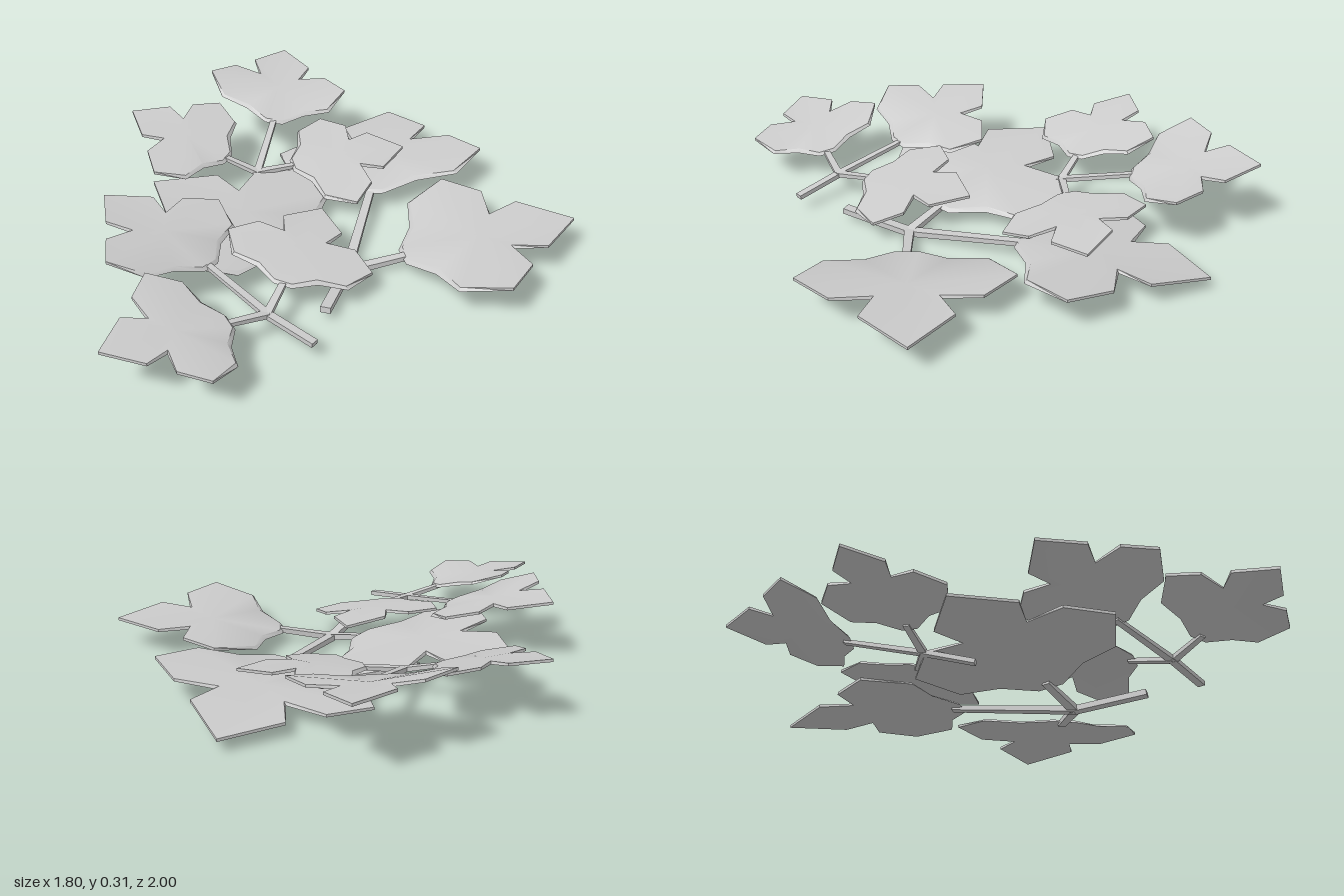
import * as THREE from 'three';
import { toCreasedNormals } from 'three/addons/utils/BufferGeometryUtils.js';

const material = new THREE.MeshStandardMaterial({ color: 0xcccccc });

// Right half of the lobed outline: [along, across, outward slant of the rim]
const HALF = [
  [0, 0.07, 0.02], [0.12, 0.23, 0.03], [0.16, 0.45, 0.02], [0.40, 0.59, 0],
  [0.585, 0.40, 0], [0.55, 0.17, 0.02], [0.74, 0.245, 0],
];
const OUTLINE = [
  ...HALF, [1, 0, 0],
  ...HALF.map(([u, v, s]) => [u, -v, s]).reverse(),
];
const CENTRE = [0.42, 0];
const THICKNESS = 0.011;
const ARCH = 0.03;

// Arched leaf from base to tip, with the heights of its right and left lobes
function makeLeaf(base, tip, rightY, leftY) {
  const [bx, by, bz] = base;
  const dx = tip[0] - bx, dz = tip[2] - bz, rise = tip[1] - by;
  const length = Math.hypot(dx, dz);
  const spine = (u) => by + rise * u + 4 * ARCH * length * u * (1 - u);
  const tilt = (rightY - leftY) / 1.18;
  const cup = ((rightY + leftY) / 2 - spine(0.4)) / 0.348;
  const place = (u, v, drop) => [
    bx + dx * u - dz * v,
    spine(u) + tilt * v + cup * v * v - drop,
    bz + dz * u + dx * v,
  ];
  const top = OUTLINE.map(([u, v]) => place(u, v, 0));
  const bottom = OUTLINE.map(([u, v, s]) => {
    const a = u - CENTRE[0], r = Math.hypot(a, v);
    return place(u + (a / r) * s, v + (v / r) * s, THICKNESS);
  });
  const topMid = place(...CENTRE, 0);
  const bottomMid = place(...CENTRE, THICKNESS);
  const positions = [];
  const tri = (a, b, c) => positions.push(...a, ...b, ...c);
  for (let i = 0; i < top.length; i++) {
    const j = (i + 1) % top.length;
    tri(topMid, top[i], top[j]);
    tri(bottomMid, bottom[j], bottom[i]);
    tri(top[i], bottom[i], bottom[j]);
    tri(top[i], bottom[j], top[j]);
  }
  const geometry = new THREE.BufferGeometry();
  geometry.setAttribute('position', new THREE.Float32BufferAttribute(positions, 3));
  const mesh = new THREE.Mesh(toCreasedNormals(geometry, 0.6), material);
  mesh.name = 'leaf';
  return mesh;
}

// Flattened four-sided tapered stem between two points
function makeStem(from, to, r0, r1, name) {
  const a = new THREE.Vector3(...from), b = new THREE.Vector3(...to);
  const dir = b.clone().sub(a);
  const geometry = new THREE.CylinderGeometry(r1, r0, dir.length(), 4);
  geometry.rotateY(Math.PI / 4).scale(1, 1, 0.6);
  const mesh = new THREE.Mesh(toCreasedNormals(geometry, 0.5), material);
  // Keep the wide side of the stem facing up
  const y = dir.normalize();
  const x = new THREE.Vector3(0, 1, 0).cross(y).normalize();
  const z = new THREE.Vector3().crossVectors(x, y);
  mesh.quaternion.setFromRotationMatrix(new THREE.Matrix4().makeBasis(x, y, z));
  mesh.position.copy(a).add(b).multiplyScalar(0.5);
  mesh.name = name;
  return mesh;
}

// Each sprig: stem foot, fork, and leaves as [base, tip, right lobe y, left lobe y]
const SPRIGS = [
  {
    name: 'largeSprig', radius: 0.027, foot: [-0.12, 0.042, 0.60], fork: [0.02, 0.012, 0.35],
    leaves: [
      [[0.24, 0.06, 0.36], [0.90, 0.118, 0.355], 0.14, 0.115],
      [[0.22, 0.082, -0.07], [0.48, 0.055, -0.73], 0.145, 0.045],
      [[-0.09, 0.068, 0.225], [-0.62, 0.125, -0.25], 0.085, 0.13],
    ],
  },
  {
    name: 'frontSprig', radius: 0.021, foot: [-0.20, 0.06, 0.79], fork: [-0.33, 0.087, 0.635],
    leaves: [
      [[-0.47, 0.125, 0.69], [-0.90, 0.18, 0.82], 0.22, 0.145],
      [[-0.49, 0.15, 0.385], [-0.82, 0.25, 0.01], 0.19, 0.245],
      [[-0.25, 0.122, 0.51], [-0.02, 0.14, 0.11], 0.09, 0.17],
    ],
  },
  {
    name: 'backSprig', radius: 0.021, foot: [-0.27, 0.045, -0.09], fork: [-0.20, 0.10, -0.27],
    leaves: [
      [[-0.315, 0.15, -0.34], [-0.66, 0.255, -0.615], 0.23, 0.17],
      [[-0.08, 0.187, -0.535], [0.06, 0.28, -1.0], 0.235, 0.31],
      [[-0.05, 0.122, -0.27], [0.415, 0.13, -0.29], 0.073, 0.157],
    ],
  },
];

export function createModel() {
  const model = new THREE.Group();
  model.name = 'leafyBranches';
  for (const { name, radius, foot, fork, leaves } of SPRIGS) {
    const sprig = new THREE.Group();
    sprig.name = name;
    sprig.add(makeStem(foot, fork, radius, radius, 'mainStem'));
    for (const [base, tip, rightY, leftY] of leaves) {
      // The stalk runs slightly under the leaf
      const end = base.map((c, k) => c + (tip[k] - c) * 0.04 - (k === 1 ? 0.01 : 0));
      sprig.add(makeStem(fork, end, radius, radius * 0.8, 'leafStalk'));
      sprig.add(makeLeaf(base, tip, rightY, leftY));
    }
    model.add(sprig);
  }
  return model;
}
